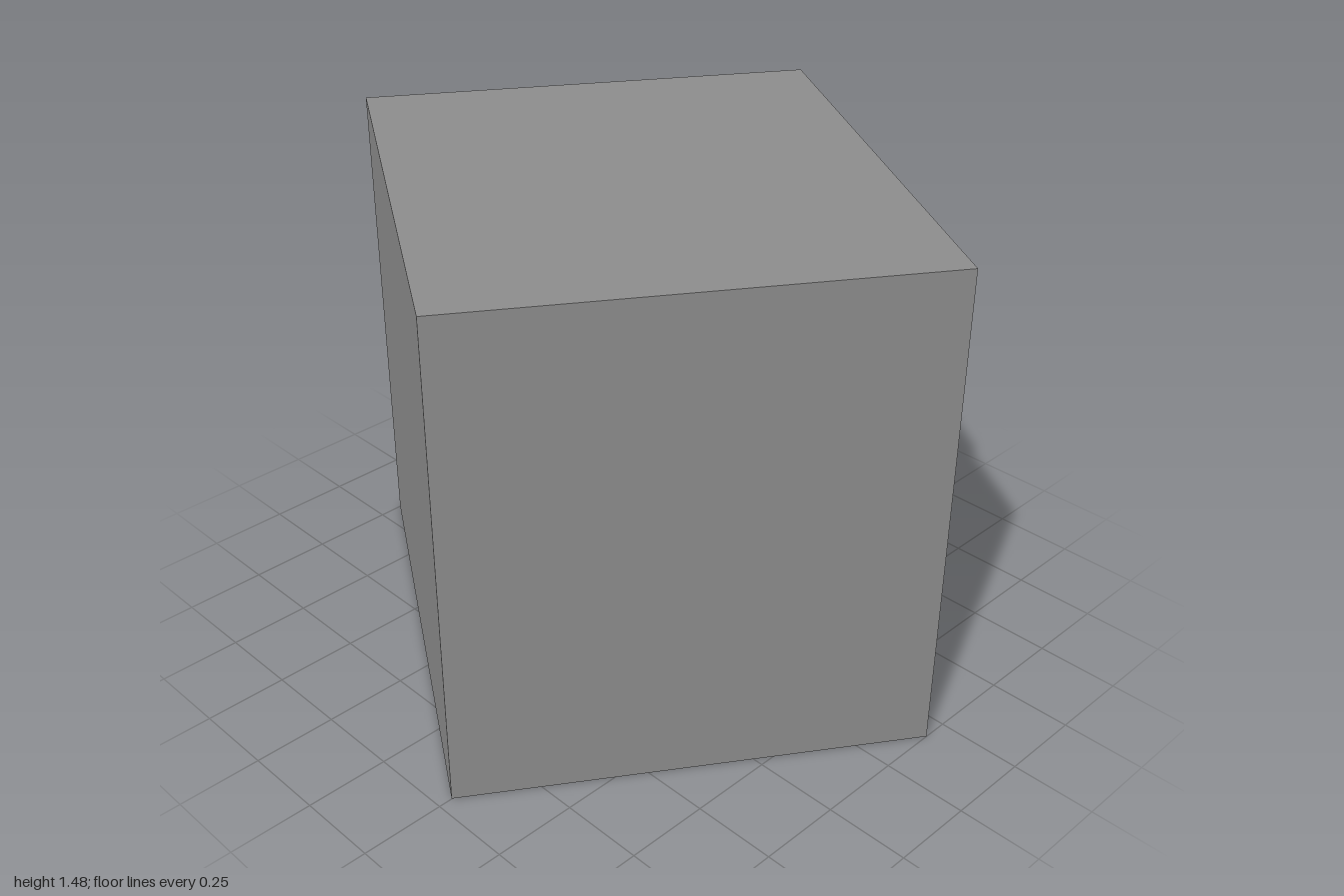
import * as THREE from 'three';

const mat = (name, color) => Object.assign(new THREE.MeshStandardMaterial({ color }), { name });

export function createModel() {
  const grey = mat('grey', 0x8c8c8c);
  const lightGrey = mat('lightGrey', 0xc8c8c8);
  const black = mat('black', 0x2a2a2a);
  const gold = mat('gold', 0xac8a10);

  const group = new THREE.Group();
  group.name = 'lockBlock';

  // Parts are laid out with the lock face towards +z, then turned (slightly skewed) to the back right
  const turn = new THREE.Matrix4().makeBasis(
    new THREE.Vector3(-0.847, 0, -0.531),
    new THREE.Vector3(0, 1, 0),
    new THREE.Vector3(0.553, 0, -0.833));

  function add(name, geometry, material, x, y, z) {
    let g = geometry.index ? geometry.toNonIndexed() : geometry;
    g = g.translate(x, y, z).applyMatrix4(turn);
    g.computeVertexNormals();
    const mesh = new THREE.Mesh(g, material);
    mesh.name = name;
    group.add(mesh);
  }

  const polygon = (points) => new THREE.Shape(points.map(([x, y]) => new THREE.Vector2(x, y)));
  const rect = (w, h) => polygon([[-w, -h], [w, -h], [w, h], [-w, h]]);
  const extrude = (shape, depth) => new THREE.ExtrudeGeometry(shape, { depth, bevelEnabled: false, curveSegments: 4 });
  const disc = (front, back, depth, sides, start = 0) =>
    new THREE.CylinderGeometry(front, back, depth, sides, 1, false, start)
      .rotateX(Math.PI / 2).translate(0, 0, depth / 2);

  const W = 0.737, H = 0.74, D = 0.679, floor = 0.624, open = 0.675;

  // Solid block, with a raised rim around the lock face
  add('block', new THREE.BoxGeometry(W * 2, H * 2, D + floor - 0.005), grey, 0, H, (floor - 0.005 - D) / 2);
  const rim = rect(W, H);
  rim.holes.push(rect(open, open));
  add('rim', extrude(rim, D - floor + 0.005), grey, 0, H, floor - 0.005);

  // Light recessed panel and its side walls
  add('panel', new THREE.BoxGeometry(open * 2, open * 2, 0.005), lightGrey, 0, H, floor - 0.0025);
  const liner = rect(open, open);
  liner.holes.push(rect(open - 0.004, open - 0.004));
  add('panelWalls', extrude(liner, D - floor - 0.001), lightGrey, 0, H, floor);

  // Hexagonal plaque: black base and light bevelled face
  const hexY = 0.99, hexFront = 0.758;
  add('plaqueBase', disc(0.48, 0.48, 0.1, 6, Math.PI / 6), black, 0, hexY, floor);
  add('plaqueFace', disc(0.437, 0.48, hexFront - 0.724, 6, Math.PI / 6), lightGrey, 0, hexY, 0.724);

  // Padlock sign
  const shackle = polygon([[-0.2, 0], [-0.115, 0], [-0.115, 0.22]]);
  shackle.quadraticCurveTo(-0.115, 0.26, -0.075, 0.26);
  shackle.lineTo(0.075, 0.26);
  shackle.quadraticCurveTo(0.115, 0.26, 0.115, 0.22);
  shackle.lineTo(0.115, 0);
  shackle.lineTo(0.2, 0);
  shackle.lineTo(0.2, 0.345);
  shackle.lineTo(-0.2, 0.345);
  add('padlockShackle', extrude(shackle, 0.004), grey, 0, 1.0, hexFront);
  add('padlockBody', new THREE.BoxGeometry(0.45, 0.37, 0.005), gold, 0, 0.815, hexFront + 0.0025);

  // Round key cylinder with keyhole
  const keyY = 0.315, keyFront = 0.717;
  add('keyCylinder', disc(0.188, 0.188, keyFront - floor, 12), gold, 0, keyY, floor);
  const half = [[0.04, 0.12], [0.065, 0.095], [0.065, 0.06], [0.032, 0.01], [0.028, -0.08]];
  const keyhole = polygon([[0, 0.125], ...half, [0, -0.122], ...half.map(([x, y]) => [-x, y]).reverse()]);
  add('keyhole', extrude(keyhole, 0.004), black, 0, keyY, keyFront);

  return group;
}
